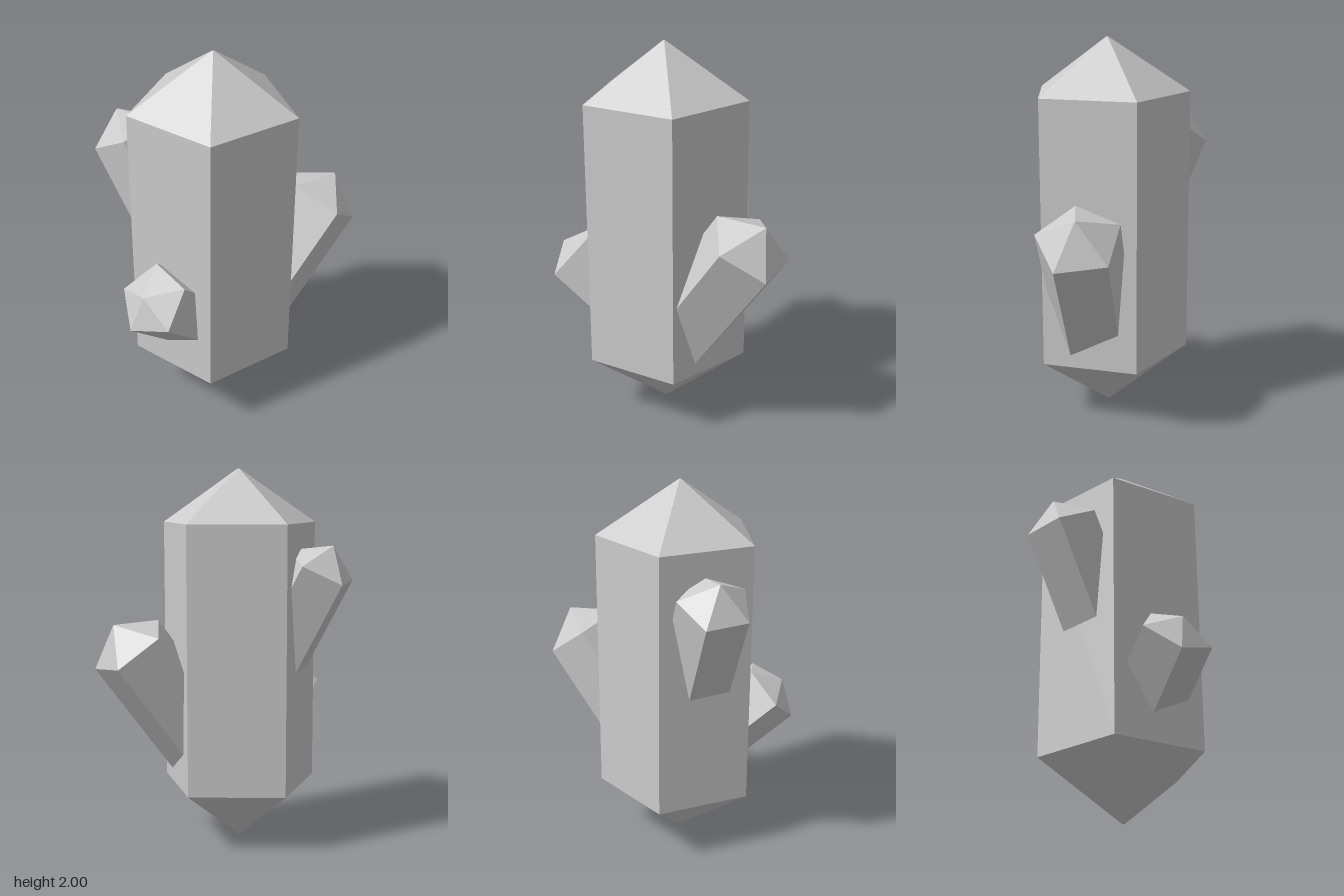
import * as THREE from 'three';

const material = new THREE.MeshStandardMaterial({ color: 0xcccccc, flatShading: true });

// Five-sided crystal pointed at both ends. "shoulder" is the centre of its upper ring,
// "axis" its growth direction, "corner" a point that one ring corner faces.
function crystal(name, { shoulder, axis, corner, radius, length, cap, baseCap = cap }) {
  const tip = radius * 0.02;
  const profile = [
    [0, -length - baseCap], [tip, -length - baseCap],
    [radius, -length], [radius, 0],
    [tip, cap], [0, cap],
  ].map(([r, y]) => new THREE.Vector2(r, y));
  const mesh = new THREE.Mesh(new THREE.LatheGeometry(profile, 5), material);
  mesh.name = name;

  // Orthonormal frame: y along the axis, z towards the chosen corner
  const origin = new THREE.Vector3(...shoulder);
  const y = new THREE.Vector3(...axis).normalize();
  const z = new THREE.Vector3(...corner).sub(origin).projectOnPlane(y).normalize();
  const x = new THREE.Vector3().crossVectors(y, z);
  mesh.quaternion.setFromRotationMatrix(new THREE.Matrix4().makeBasis(x, y, z));
  mesh.position.copy(origin);
  return mesh;
}

export function createModel() {
  const model = new THREE.Group();
  model.name = 'crystalCluster';
  model.add(
    // Tall upright crystal
    crystal('mainCrystal', {
      shoulder: [-0.065, 1.72, 0.09], axis: [0, 1, 0], corner: [-0.065, 1.72, -1],
      radius: 0.432, length: 1.41, cap: 0.28, baseCap: 0.31,
    }),
    // Smaller crystals growing out of its sides
    crystal('leftCrystal', {
      shoulder: [0.515, 1.08, 0.247], axis: [0.585, 0.806, 0.096], corner: [0.335, 1.21, 0.26],
      radius: 0.222, length: 0.78, cap: 0.147,
    }),
    crystal('rightCrystal', {
      shoulder: [-0.54, 0.83, 0.249], axis: [-0.73, 0.65, 0.21], corner: [-0.665, 0.7, 0.24],
      radius: 0.19, length: 0.5, cap: 0.085,
    }),
    crystal('backCrystal', {
      shoulder: [-0.333, 1.49, -0.285], axis: [-0.238, 0.883, -0.406], corner: [-0.325, 1.41, -0.46],
      radius: 0.192, length: 0.6, cap: 0.13,
    }),
  );
  return model;
}
